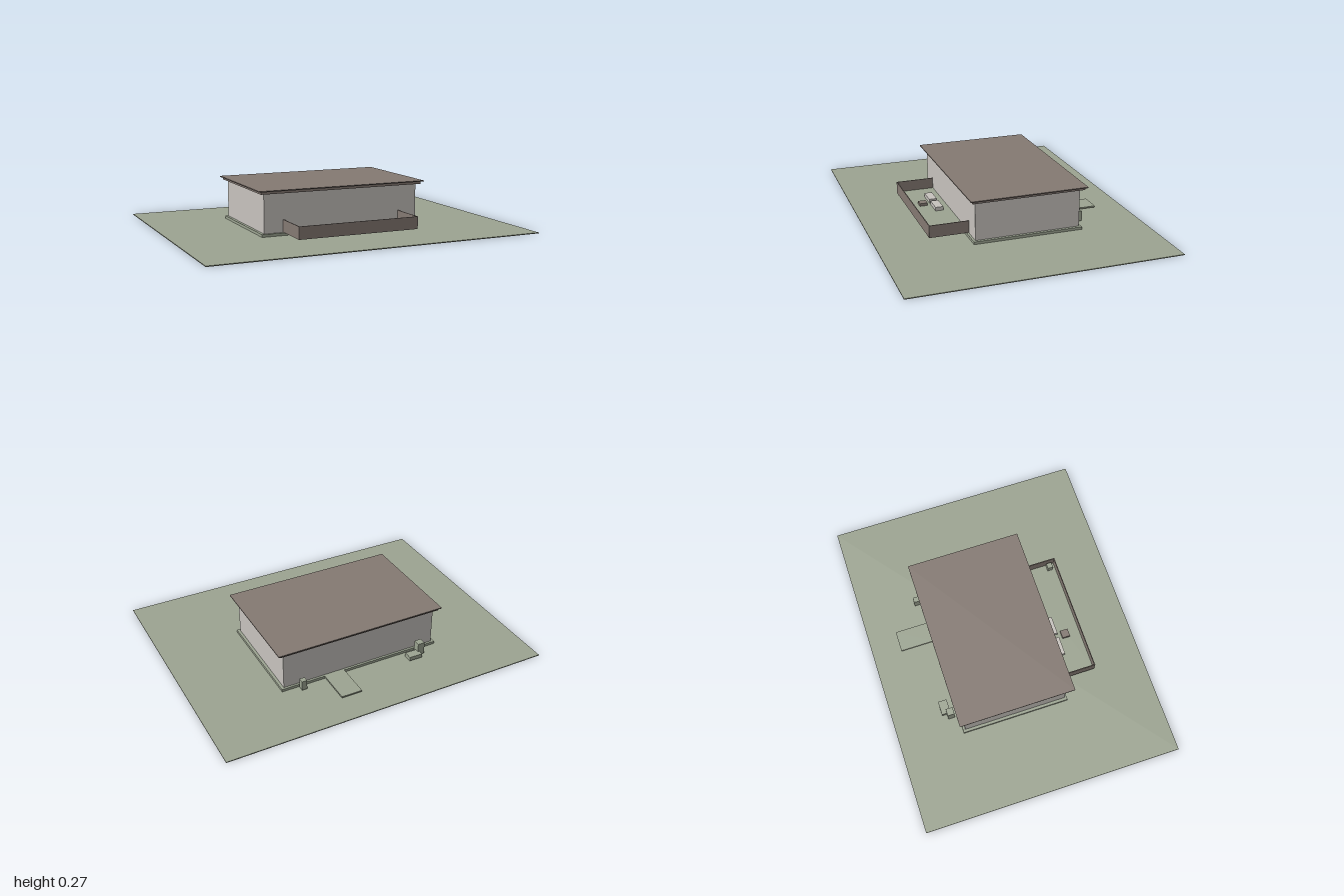
import * as THREE from 'three';

export function createModel() {
  const model = new THREE.Group();
  model.name = 'house';

  const mat = (name, color) => {
    const m = new THREE.MeshStandardMaterial({ color });
    m.name = name;
    return m;
  };
  const green = mat('sage green', 0x9da592);
  const brown = mat('warm brown', 0x857a73);
  const pale = mat('pale plaster', 0xc8c4bf);

  // Box given by its lower and upper limits on each axis
  const block = (name, material, [x0, x1], [y0, y1], [z0, z1]) => {
    const mesh = new THREE.Mesh(new THREE.BoxGeometry(x1 - x0, y1 - y0, z1 - z0), material);
    mesh.position.set((x0 + x1) / 2, (y0 + y1) / 2, (z0 + z1) / 2);
    mesh.name = name;
    model.add(mesh);
  };

  // Site and building shell
  block('ground', green, [-1, 1], [0, 0.005], [-0.785, 0.785]);
  block('plinth', green, [-0.507, 0.504], [0.004, 0.021], [-0.4, 0.257]);
  block('walls', pale, [-0.49, 0.487], [0.021, 0.25], [-0.387, 0.244]);
  block('roofFascia', brown, [-0.514, 0.511], [0.25, 0.265], [-0.408, 0.265]);
  block('roofSlab', brown, [-0.529, 0.526], [0.265, 0.271], [-0.421, 0.28]);

  // Front terrace with a thin parapet on three sides
  block('terraceDeck', green, [-0.369, 0.367], [0.022, 0.03], [0.244, 0.473]);
  block('frontParapet', brown, [-0.374, 0.372], [0.022, 0.096], [0.473, 0.478]);
  for (const x of [-0.374, 0.367]) {
    block('sideParapet', brown, [x, x + 0.005], [0.022, 0.096], [0.244, 0.473]);
  }

  // Terrace furniture
  for (const x of [-0.235, -0.096]) {
    block('terraceSeat', pale, [x, x + 0.112], [0.03, 0.053], [0.289, 0.337]);
  }
  block('terraceTable', brown, [-0.134, -0.086], [0.03, 0.047], [0.358, 0.406]);
  block('terracePlanter', green, [0.326, 0.36], [0.03, 0.07], [0.422, 0.455]);

  // Rear path, bench and planters
  block('rearPath', green, [0.107, 0.234], [0.012, 0.021], [-0.61, -0.4]);
  block('rearBench', green, [-0.364, -0.281], [0.012, 0.037], [-0.492, -0.439]);
  block('tallPlanter', green, [-0.396, -0.353], [0.012, 0.089], [-0.463, -0.421]);
  block('smallPlanter', green, [0.369, 0.401], [0.012, 0.071], [-0.446, -0.413]);

  return model;
}
